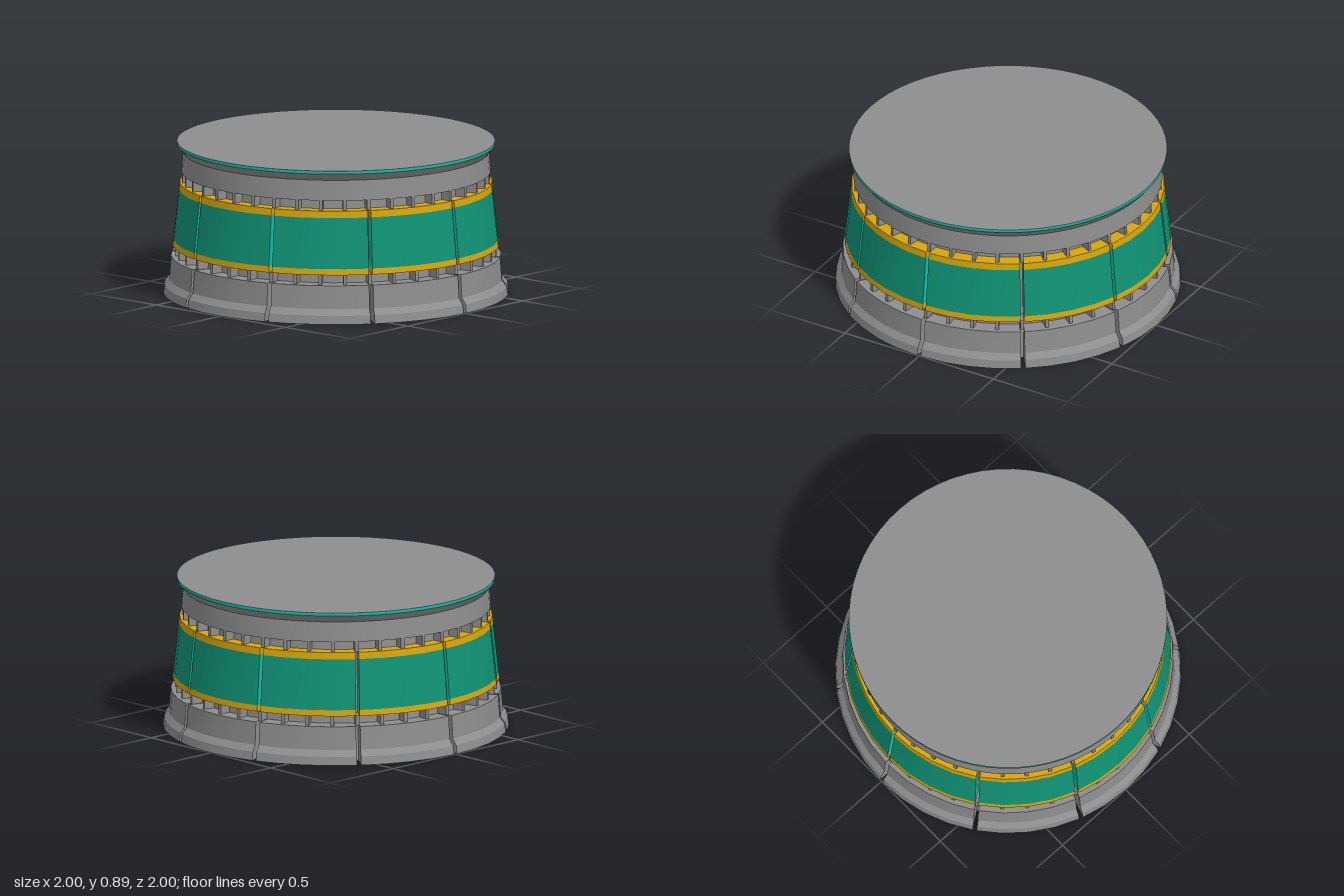
import * as THREE from 'three';
import { toCreasedNormals } from 'three/addons/utils/BufferGeometryUtils.js';

const mat = (name, color) => {
  const m = new THREE.MeshStandardMaterial({ color });
  m.name = name;
  return m;
};

const SEGMENTS = 10;
const STEP = (Math.PI * 2) / SEGMENTS;

// Sweeps a closed [radius, y] profile (outer side upwards, inner side downwards)
// through one tenth of a turn, leaving half a slot at each end.
// Group 0 is the swept skin, group 1 the two slot walls.
function arcBlock(profile, gap, divisions = 4) {
  const pos = [];
  const n = profile.length;
  const point = ([r, y], t) => {
    const a = t * (STEP / 2 - Math.asin(gap / 2 / r));
    return [r * Math.sin(a), y, r * Math.cos(a)];
  };
  const tri = (a, b, c) => pos.push(...a, ...b, ...c);

  for (let j = 0; j < divisions; j++) {
    const t0 = -1 + (2 * j) / divisions, t1 = -1 + (2 * (j + 1)) / divisions;
    for (let i = 0; i < n; i++) {
      const p = profile[i], q = profile[(i + 1) % n];
      tri(point(p, t0), point(p, t1), point(q, t1));
      tri(point(p, t0), point(q, t1), point(q, t0));
    }
  }
  const skin = pos.length / 3;
  for (let i = 0; i < n - 2; i++) {
    const a = profile[n - 1], b = profile[i], c = profile[i + 1];
    tri(point(a, -1), point(b, -1), point(c, -1));
    tri(point(a, 1), point(c, 1), point(b, 1));
  }
  let geo = new THREE.BufferGeometry();
  geo.setAttribute('position', new THREE.Float32BufferAttribute(pos, 3));
  geo = toCreasedNormals(geo, 0.3);
  geo.clearGroups();
  geo.addGroup(0, skin, 0);
  geo.addGroup(skin, pos.length / 3 - skin, 1);
  return geo;
}

export function createModel() {
  const model = new THREE.Group();
  model.name = 'roundPlatform';

  const grey = mat('grey metal', 0x8e8e8e);
  const green = mat('green panel', 0x109476);
  const gold = mat('gold trim', 0xd8a60a);
  const teal = mat('bright teal', 0x12bfa8);

  const add = (name, geo, material, parent = model) => {
    const mesh = new THREE.Mesh(geo, material);
    mesh.name = name;
    parent.add(mesh);
    return mesh;
  };

  // Tapered inner drum, seen in the slots and recesses
  add('core', new THREE.CylinderGeometry(0.82, 0.88, 0.76, 64).translate(0, 0.38, 0), grey);

  // Ten foot blocks and ten trimmed panels around the drum
  const footGeo = arcBlock(
    [[1, 0], [0.993, 0.05], [0.965, 0.085], [0.955, 0.22], [0.85, 0.22], [0.87, 0]], 0.024);
  const ring = (r0, y0, r1, y1) =>
    arcBlock([[r0, y0], [r1, y1], [0.82, y1], [0.82, y0]], 0.02);
  const lowerTrim = ring(0.945, 0.28, 0.941, 0.315);
  const panel = ring(0.941, 0.315, 0.909, 0.61);
  const upperTrim = ring(0.909, 0.61, 0.905, 0.65);

  for (let i = 0; i < SEGMENTS; i++) {
    const segment = new THREE.Group();
    segment.name = 'segment';
    segment.rotation.y = i * STEP;
    model.add(segment);
    add('footBlock', footGeo, [grey, grey], segment);
    add('lowerTrim', lowerTrim, [gold, gold], segment);
    add('sidePanel', panel, [green, teal], segment);
    add('upperTrim', upperTrim, [gold, gold], segment);
  }

  // Small ribs bridging the two recesses
  const lowerRib = new THREE.BoxGeometry(0.02, 0.06, 0.09).translate(0, 0.25, 0.885);
  const upperRib = new THREE.BoxGeometry(0.02, 0.06, 0.08).translate(0, 0.68, 0.85);
  for (let i = 0; i < 40; i++) {
    const a = (i * Math.PI) / 20;
    add('lowerRib', lowerRib, grey).rotation.y = a;
    add('upperRib', upperRib, grey).rotation.y = a;
  }

  // Upper collar flaring out to the deck
  const collar = new THREE.LatheGeometry(
    [[0.8, 0.71], [0.895, 0.71], [0.886, 0.828], [0.918, 0.872], [0, 0.872]]
      .map(([x, y]) => new THREE.Vector2(x, y)), 64);
  add('collar', toCreasedNormals(collar, 0.3), grey);

  // Deck with a bright edge
  add('deck', new THREE.CylinderGeometry(0.92, 0.92, 0.018, 64).translate(0, 0.88, 0),
    [teal, grey, grey]);

  return model;
}
